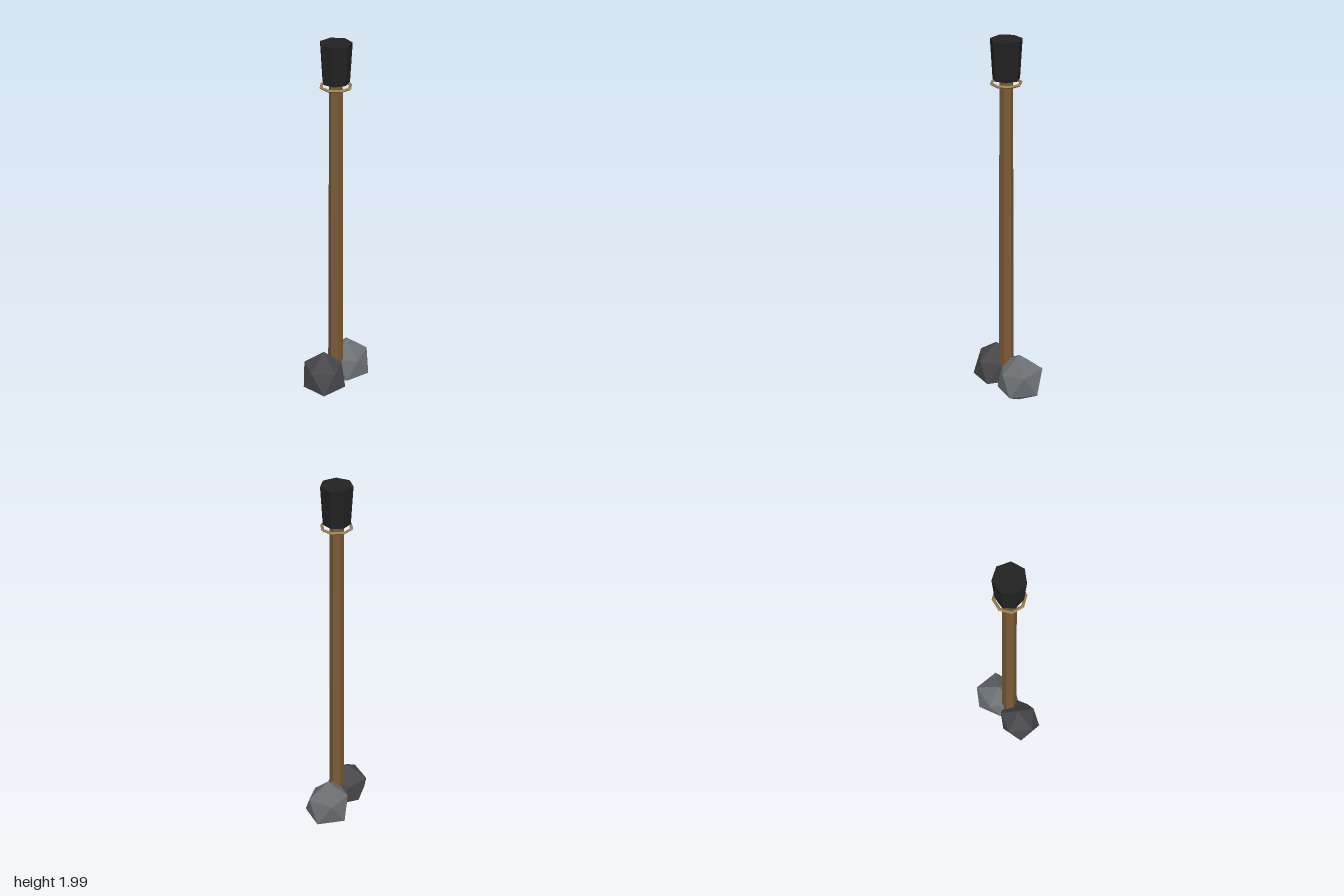
import * as THREE from 'three';

const mat = (name, color) => {
  const m = new THREE.MeshStandardMaterial({ color });
  m.name = name;
  return m;
};

// Irregular twenty-sided stone: two poles and two staggered rings of [radius, height]
function stoneGeometry(top, upper, lower, bottom) {
  const ring = (list, offset) => list.map(([r, y], i) => {
    const a = (i * 72 + offset) * Math.PI / 180;
    return new THREE.Vector3(r * Math.cos(a), y, r * Math.sin(a));
  });
  const U = ring(upper, 0), L = ring(lower, 36);
  const T = new THREE.Vector3(0, top, 0), B = new THREE.Vector3(0, bottom, 0);
  const pts = [];
  for (let i = 0; i < 5; i++) {
    const j = (i + 1) % 5;
    pts.push(T, U[j], U[i], U[i], U[j], L[i], U[j], L[j], L[i], B, L[i], L[j]);
  }
  const g = new THREE.BufferGeometry().setFromPoints(pts);
  g.computeVertexNormals();
  return g;
}

export function createModel() {
  const group = new THREE.Group();
  const wood = mat('wood', 0x7a5a36);
  const black = mat('black grip', 0x222222);
  const brass = mat('brass', 0x9c8052);
  const lightStone = mat('light stone', 0x6b7073);
  const darkStone = mat('dark stone', 0x48484c);
  for (const m of [wood, black, brass, lightStone, darkStone]) m.flatShading = true;

  const add = (name, geometry, material, x, y, z) => {
    const mesh = new THREE.Mesh(geometry, material);
    mesh.name = name;
    mesh.position.set(x, y, z);
    group.add(mesh);
    return mesh;
  };
  const axisZ = 0.006;

  // Tapered six-sided handle
  add('handle', new THREE.CylinderGeometry(0.034, 0.041, 1.7, 6), wood, 0, 0.97, axisZ);

  // Seven-sided grip cap with a corner at the back
  add('gripCap', new THREE.CylinderGeometry(0.081, 0.069, 0.2, 7), black, 0, 1.9, axisZ)
    .rotation.y = Math.PI;

  // Thin ring under the cap
  add('ring', new THREE.TorusGeometry(0.075, 0.008, 4, 8), brass, 0, 1.78, axisZ)
    .rotation.x = Math.PI / 2;

  // Pair of faceted stones at the foot
  add('leftStone', stoneGeometry(0.139,
    [[0.115, 0.056], [0.1, 0.04], [0.115, 0.06], [0.107, 0.056], [0.126, 0.062]],
    [[0.124, -0.062], [0.115, -0.062], [0.115, -0.062], [0.124, -0.062], [0.13, -0.062]],
    -0.139), lightStone, 0.08, 0.149, -0.045);
  add('rightStone', stoneGeometry(0.139,
    [[0.1, 0.05], [0.1, 0.045], [0.112, 0.056], [0.111, 0.054], [0.1, 0.056]],
    [[0.12, -0.06], [0.125, -0.062], [0.115, -0.06], [0.094, -0.06], [0.115, -0.06]],
    -0.114), darkStone, -0.08, 0.149, 0.045);

  return group;
}
